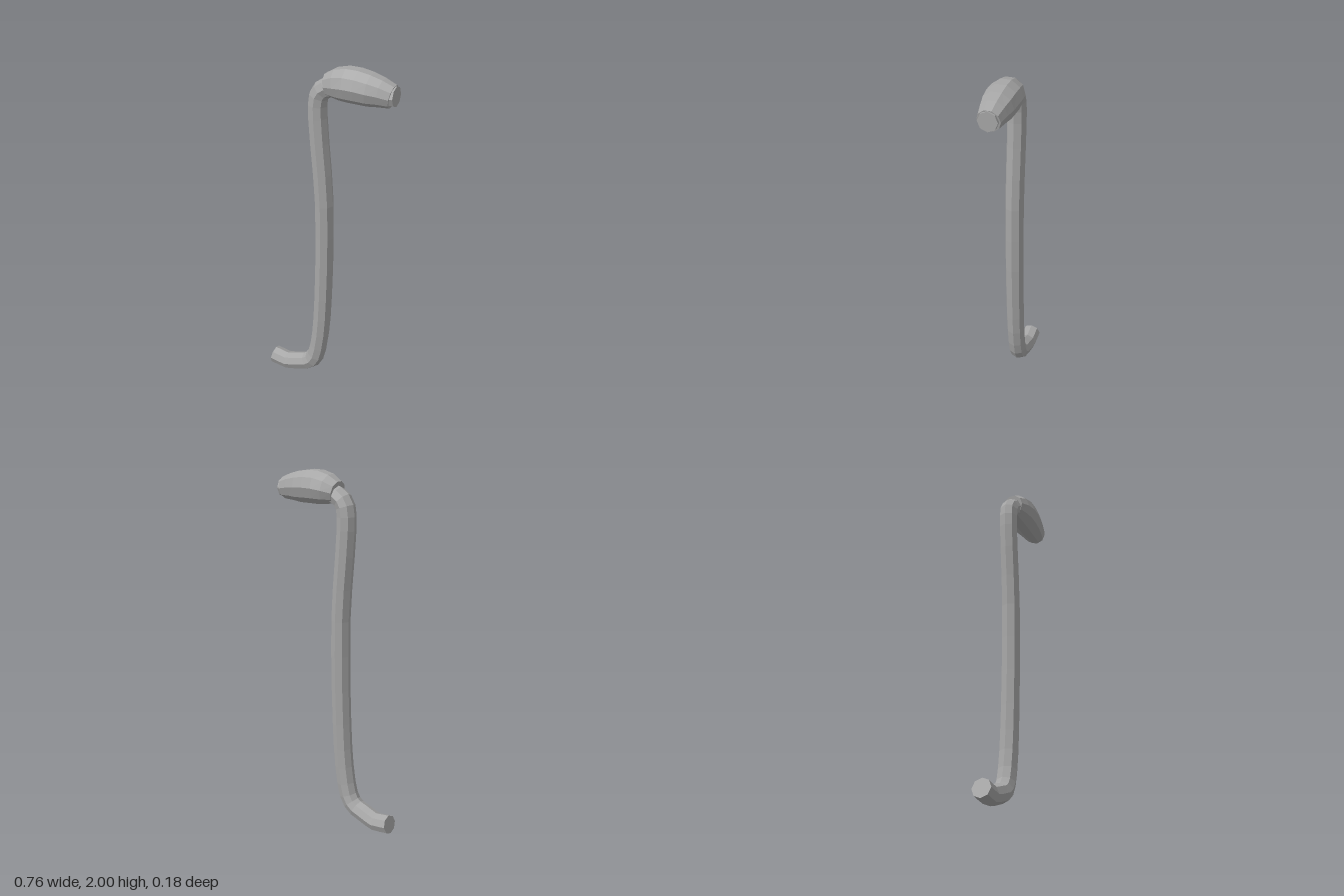
import * as THREE from 'three';

// Sweep a regular polygon along a path in the xy plane; each point is [x, y, radius].
function sweep(points, sides, startAngle) {
  const pos = [], index = [];
  const n = points.length;
  points.forEach(([x, y, r], i) => {
    const a = points[Math.max(i - 1, 0)], b = points[Math.min(i + 1, n - 1)];
    const t = new THREE.Vector2(b[0] - a[0], b[1] - a[1]).normalize();
    for (let j = 0; j < sides; j++) {
      const ang = startAngle + (j / sides) * Math.PI * 2;
      const up = Math.cos(ang) * r;
      pos.push(x - t.y * up, y + t.x * up, Math.sin(ang) * r);
    }
  });
  for (let i = 0; i < n - 1; i++) {
    for (let j = 0; j < sides; j++) {
      const k = (j + 1) % sides;
      const p = i * sides + j, q = i * sides + k;
      index.push(p, q, p + sides, q, q + sides, p + sides);
    }
  }
  // End caps
  const last = (n - 1) * sides;
  for (let j = 1; j < sides - 1; j++) {
    index.push(0, j + 1, j, last, last + j, last + j + 1);
  }
  const geo = new THREE.BufferGeometry();
  geo.setAttribute('position', new THREE.Float32BufferAttribute(pos, 3));
  geo.setIndex(index);
  const flat = geo.toNonIndexed();
  flat.computeVertexNormals();
  return flat;
}

export function createModel() {
  const group = new THREE.Group();
  group.name = 'bentHandle';
  const grey = new THREE.MeshStandardMaterial({ color: 0xa6a6a6, flatShading: true });
  grey.name = 'grey';

  // Bent octagonal rod, from the lower foot up and through the grip
  const R = 0.053;
  const path = [
    [-0.375, 0.069], [-0.33, 0.062], [-0.28, 0.056], [-0.235, 0.069], [-0.19, 0.085],
    [-0.145, 0.1], [-0.11, 0.127], [-0.085, 0.17], [-0.067, 0.24], [-0.052, 0.34],
    [-0.042, 0.45], [-0.034, 0.6], [-0.027, 0.8], [-0.024, 1.0], [-0.025, 1.2],
    [-0.036, 1.38], [-0.052, 1.56], [-0.062, 1.7], [-0.063, 1.77], [-0.056, 1.82],
    [-0.036, 1.853], [-0.005, 1.874], [0.04, 1.886], [0.3, 1.891], [0.378, 1.891],
  ];
  const rod = new THREE.Mesh(sweep(path.map(([x, y]) => [x, y, R]), 8, 0), grey);
  rod.name = 'rod';

  // Swollen ten-sided grip with a slightly arched axis
  const grip = new THREE.Mesh(sweep([
    [-0.002, 1.892, 0.061], [0.055, 1.904, 0.083], [0.115, 1.911, 0.092],
    [0.175, 1.911, 0.092], [0.24, 1.905, 0.087], [0.3, 1.899, 0.075], [0.36, 1.888, 0.061],
  ], 10, Math.PI / 10), grey);
  grip.name = 'grip';

  group.add(rod, grip);
  return group;
}
